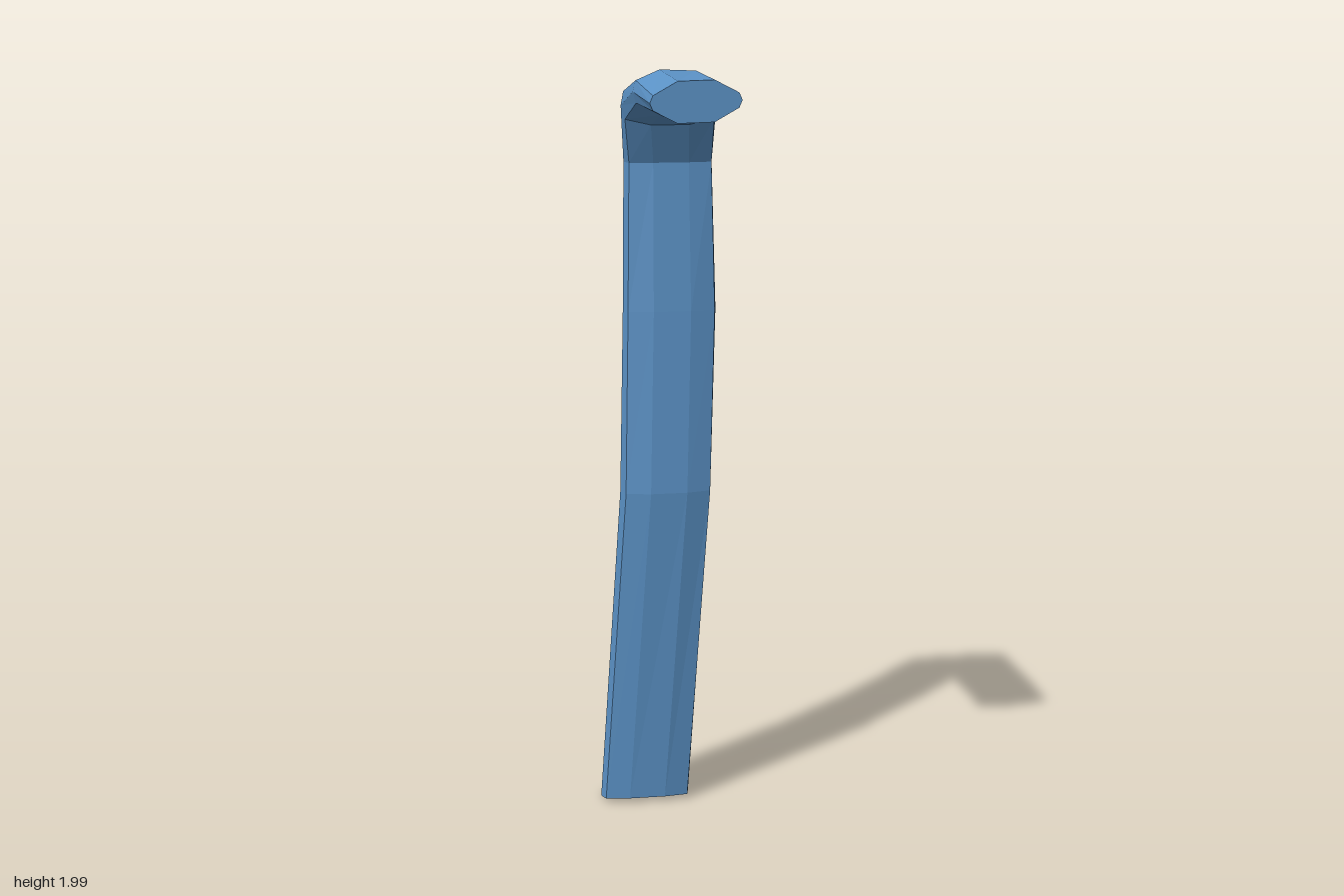
import * as THREE from 'three';

// Stations along the bent bar, foot to tip:
// x range, outer (back/top) point [y, z], inner (front/underside) point [y, z],
// s = how square the narrow sides are, tilt = depth skew across the width
const stations = [
  { x: [-0.155, 0.087], outer: [0.008, -0.291], inner: [0.022, -0.194], s: 0.75, tilt: 0.006 },
  { x: [-0.105, 0.137], outer: [0.9, -0.25], inner: [0.9, -0.132], s: 0.74, tilt: 0 },
  { x: [-0.095, 0.15], outer: [1.38, -0.243], inner: [1.38, -0.148], s: 0.7, tilt: 0 },
  { x: [-0.088, 0.142], outer: [1.76, -0.265], inner: [1.76, -0.167], s: 0.8, tilt: 0 },
  { x: [-0.106, 0.139], outer: [1.955, -0.16], inner: [1.858, -0.122], s: 0.7, tilt: 0 },
  { x: [-0.107, 0.115], outer: [2.0, 0.05], inner: [1.892, 0.06], s: 0.5, tilt: 0.004 },
  { x: [-0.106, 0.112], outer: [1.986, 0.293], inner: [1.89, 0.293], s: 0.36, tilt: -0.003 },
];

// Ten-sided flattened cross-section, counterclockwise around the path
function ring({ x, outer, inner, s, tilt }) {
  const outline = [
    [0.93, -s], [1, 0], [0.93, s], [0.4, 1], [-0.4, 1],
    [-0.93, s], [-1, 0], [-0.93, -s], [-0.4, -1], [0.4, -1],
  ];
  const o = new THREE.Vector3(0, ...outer);
  const i = new THREE.Vector3(0, ...inner);
  const depth = o.distanceTo(i);
  return outline.map(([u, v]) => {
    const t = (v + 1) / 2 - (u * tilt) / depth;
    const p = i.clone().lerp(o, t);
    p.x = THREE.MathUtils.lerp(x[0], x[1], (u + 1) / 2);
    return p;
  });
}

// Joins the cross-sections with quads and closes both ends
function loft(rings) {
  const pts = [];
  const n = rings[0].length;
  const centre = (r) => r.reduce((c, p) => c.add(p), new THREE.Vector3()).divideScalar(n);
  for (let k = 0; k < rings.length - 1; k++) {
    for (let j = 0; j < n; j++) {
      const m = (j + 1) % n;
      const a = rings[k][j], b = rings[k][m], c = rings[k + 1][m], d = rings[k + 1][j];
      pts.push(a, b, c, a, c, d);
    }
  }
  const first = rings[0], last = rings[rings.length - 1];
  for (let j = 0; j < n; j++) {
    const m = (j + 1) % n;
    pts.push(centre(first), first[m], first[j]);
    pts.push(centre(last), last[j], last[m]);
  }
  const geometry = new THREE.BufferGeometry().setFromPoints(pts);
  geometry.computeVertexNormals();
  return geometry;
}

export function createModel() {
  const group = new THREE.Group();
  group.name = 'bentBar';
  const material = new THREE.MeshStandardMaterial({ color: 0x5b92c6, flatShading: true });

  // Upright stem, bend and forward arm in one continuous piece
  const bar = new THREE.Mesh(loft(stations.map(ring)), material);
  bar.name = 'stemAndArm';
  group.add(bar);
  return group;
}
